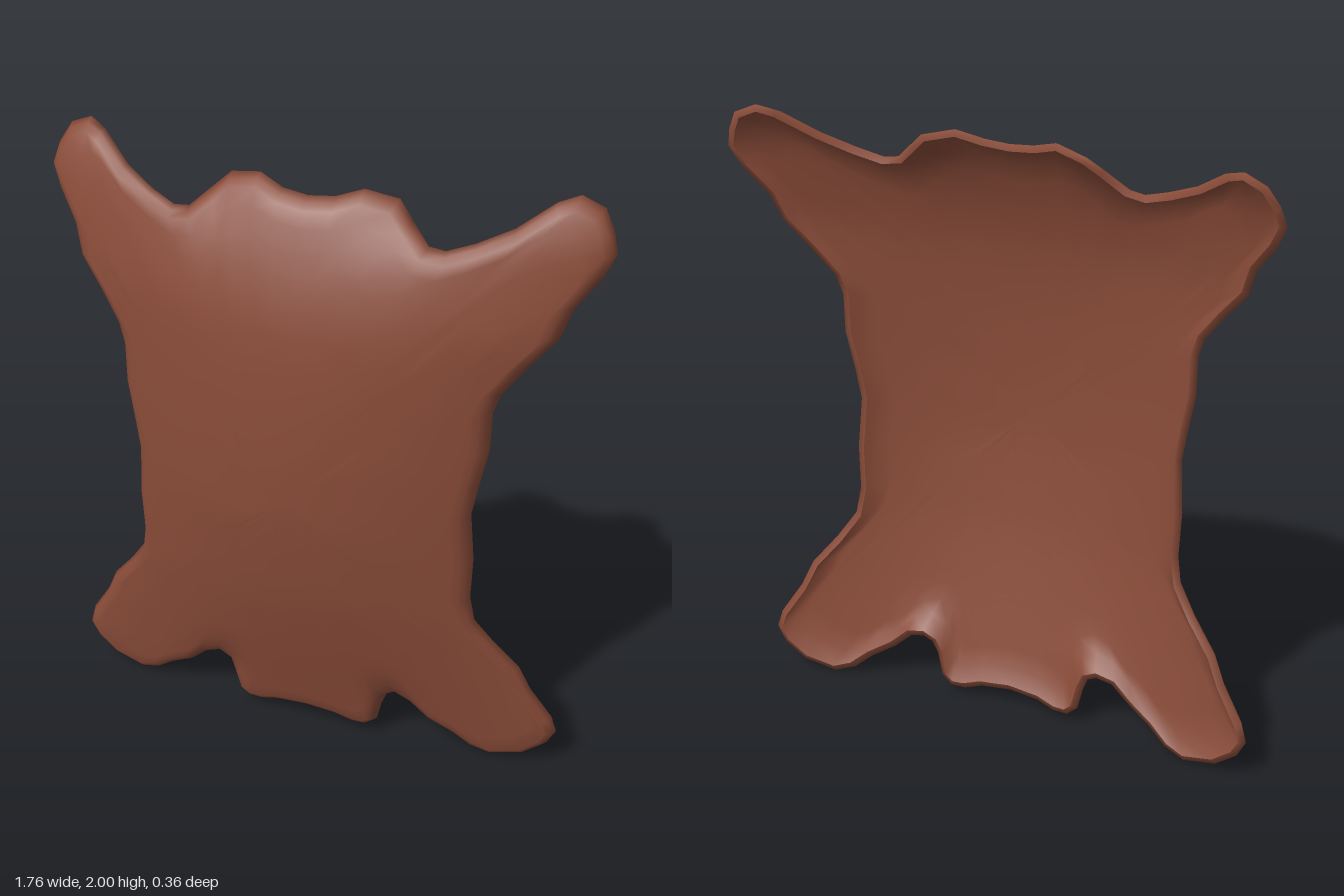
import * as THREE from 'three';
import { mergeVertices } from 'three/addons/utils/BufferGeometryUtils.js';

// Half outline of the hide, from the tail up to the neck
const HALF = [
  [0, 0.065], [0.1, 0.055], [0.16, 0.035], [0.21, 0.035], [0.245, 0.065], [0.262, 0.14], [0.28, 0.185],
  [0.31, 0.2], [0.36, 0.185], [0.42, 0.13], [0.5, 0.08], [0.56, 0.03], [0.63, 0.005], [0.74, 0.03],
  [0.81, 0.085], [0.838, 0.14], [0.82, 0.2], [0.75, 0.31], [0.71, 0.4], [0.63, 0.5], [0.57, 0.59],
  [0.555, 0.68], [0.56, 0.83], [0.548, 1.0], [0.565, 1.1], [0.59, 1.23], [0.592, 1.36], [0.612, 1.42],
  [0.68, 1.51], [0.755, 1.6], [0.785, 1.69], [0.85, 1.78], [0.882, 1.85], [0.865, 1.91], [0.83, 1.97],
  [0.76, 2.0], [0.7, 1.98], [0.6, 1.91], [0.5, 1.865], [0.42, 1.838], [0.37, 1.845], [0.31, 1.9],
  [0.26, 1.945], [0.16, 1.968], [0.08, 1.943], [0, 1.935],
];
// Rows of [height, depth at the middle, sideways bend]
const BEND = [
  [0, 0.0, 0.1], [0.15, 0.035, 0.13], [0.35, 0.085, 0.2], [0.6, 0.14, 0.3], [0.9, 0.178, 0.38],
  [1.15, 0.183, 0.38], [1.4, 0.172, 0.35], [1.6, 0.148, 0.29], [1.75, 0.1, 0.25], [1.88, 0.045, 0.2], [2, -0.02, 0.2],
];

function bendAt(y) {
  let i = 0;
  while (i < BEND.length - 2 && y > BEND[i + 1][0]) i++;
  const [a, b] = [BEND[i], BEND[i + 1]];
  const t = THREE.MathUtils.clamp((y - a[0]) / (b[0] - a[0]), 0, 1);
  return [THREE.MathUtils.lerp(a[1], b[1], t), THREE.MathUtils.lerp(a[2], b[2], t)];
}

// Depth of the draped sheet, with soft folds at the neck corners and beside the tail
function depth(x, y) {
  const [z, k] = bendAt(y);
  const fold = (fx, fy, r) => Math.exp(-((Math.abs(x) - fx) ** 2 + (y - fy) ** 2) / (r * r));
  return z - k * x * x - 0.035 * fold(0.27, 1.95, 0.1) - 0.03 * fold(0.3, 0.2, 0.07);
}

function fullOutline() {
  const mirrored = HALF.slice(1, -1).reverse().map(([x, y]) => [-x, y]);
  return [...HALF, ...mirrored];
}

// Move the outline inwards along its normals
function inset(outline, d) {
  const n = outline.length;
  return outline.map(([x, y], i) => {
    const p = outline[(i + n - 1) % n], q = outline[(i + 1) % n];
    const dx = q[0] - p[0], dy = q[1] - p[1], l = Math.hypot(dx, dy);
    return [x - (dy / l) * d, y + (dx / l) * d];
  });
}

const lift = (loop, dz) => loop.map(([x, y]) => [x, y, depth(x, y) + dz]);
const shrink = (loop, t) => loop.map(([x, y]) => [x * t, 1 + (y - 1) * t]);

// Skin between successive loops, smooth shaded
function skin(loops, flip) {
  const n = loops[0].length, index = [];
  for (let r = 0; r < loops.length - 1; r++) {
    for (let i = 0; i < n; i++) {
      const a = r * n + i, b = r * n + (i + 1) % n, c = a + n, d = b + n;
      const tris = r === loops.length - 2 && loops[r + 1][0][0] === loops[r + 1][1][0]
        ? [[a, b, c]] : [[a, b, d], [a, d, c]];
      for (const [p, q, s] of tris) index.push(...(flip ? [p, s, q] : [p, q, s]));
    }
  }
  let g = new THREE.BufferGeometry();
  g.setAttribute('position', new THREE.Float32BufferAttribute(loops.flat(2), 3));
  g.setIndex(index);
  g = mergeVertices(g, 1e-5);
  g.computeVertexNormals();
  return g;
}

export function createModel() {
  const group = new THREE.Group();
  group.name = 'animalHide';
  const leather = new THREE.MeshStandardMaterial({ color: 0x8a4c39, side: THREE.DoubleSide });
  leather.name = 'brown leather';

  const edge = fullOutline();
  const inner = inset(edge, 0.03);
  const scales = [0.95, 0.88, 0.8, 0.7, 0.6, 0.48, 0.36, 0.24, 0.12, 0];

  // Outer face, with its rounded rim turned to the back
  const front = [
    lift(inset(edge, 0.022), -0.047),
    lift(edge, -0.032),
    lift(inset(edge, 0.01), -0.012),
    lift(inner, 0),
    ...scales.map((t) => lift(shrink(inner, t), 0)),
  ];
  const outer = new THREE.Mesh(skin(front, false), leather);
  outer.name = 'outerHide';

  // Hollow inner face
  const back = [
    lift(inset(edge, 0.022), -0.047),
    ...scales.map((t) => lift(shrink(inner, t), -0.03)),
  ];
  const lining = new THREE.Mesh(skin(back, true), leather);
  lining.name = 'innerHide';

  group.add(outer, lining);
  return group;
}
